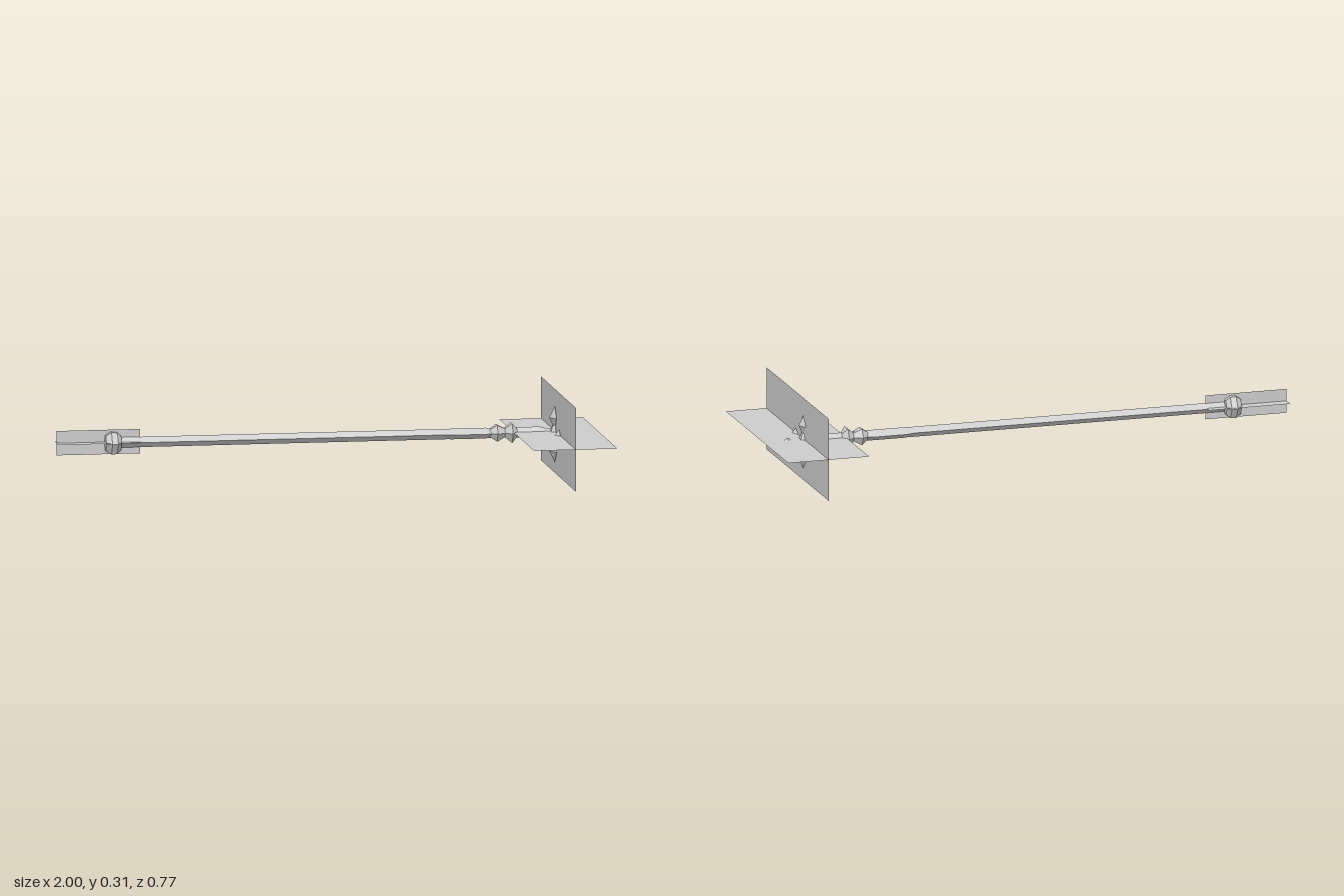
import * as THREE from 'three';

export function createModel() {
  const model = new THREE.Group();
  model.name = 'staff';
  const grey = new THREE.MeshStandardMaterial({ color: 0xcccccc, side: THREE.DoubleSide });
  grey.name = 'plain grey';

  const AXIS_Y = 0.152, AXIS_Z = -0.085;   // line of the shaft
  const HUB = [0.843, 0.144, -0.07];       // centre of the head ornament
  const UP = new THREE.Vector3(0, 1, 0);

  function add(name, geometry, x, y, z) {
    const mesh = new THREE.Mesh(geometry, grey);
    mesh.name = name;
    mesh.position.set(x, y, z);
    model.add(mesh);
    return mesh;
  }

  // Faceted solid along `dir`; profile rows are [distance along, radius]
  function faceted(name, profile, sides, dir, pos, scale = [1, 1, 1]) {
    const pts = profile.map(([along, r]) => new THREE.Vector2(r, along));
    let g = new THREE.LatheGeometry(pts, sides);
    g.applyQuaternion(new THREE.Quaternion().setFromUnitVectors(UP, new THREE.Vector3(...dir)));
    g.scale(...scale);
    g = g.toNonIndexed();
    g.computeVertexNormals();
    return add(name, g, ...pos);
  }

  const X = [1, 0, 0];
  const axis = [0, AXIS_Y, AXIS_Z];

  // Shaft with its tapered end
  faceted('shaft', [[-0.79, 0.019], [0.79, 0.019], [0.815, 0.012], [0.85, 0.009]], 4, X, axis);

  // Wider grip below the collars
  faceted('grip', [[0.42, 0.017], [0.46, 0.03], [0.59, 0.03], [0.62, 0.018]], 4, X, axis, [1, 0.66, 1]);

  // Two collar beads
  faceted('collarBead', [[0.605, 0.016], [0.63, 0.035], [0.66, 0.018]], 6, X, axis);
  faceted('collarBead', [[0.66, 0.018], [0.685, 0.042], [0.705, 0.017]], 6, X, axis);

  // Pommel at the far end
  faceted('pommel', [[-0.822, 0], [-0.82, 0.032], [-0.8, 0.047], [-0.778, 0.045], [-0.763, 0.03], [-0.76, 0]], 6, X, axis);

  // Head ornament: hub and four pointed gems
  faceted('hub', [[-0.034, 0.012], [0, 0.032], [0.034, 0.012]], 6, [0, 1, 0], HUB, [0.7, 1, 1]);
  const gem = [[0.02, 0.01], [0.033, 0.014], [0.062, 0.04], [0.103, 0]];
  faceted('upperGem', gem, 4, [0, 1, 0], HUB, [0.5, 1, 1]);
  faceted('lowerGem', gem, 4, [0, -1, 0], HUB, [0.5, 1, 1]);
  faceted('sideGem', [[0.02, 0.013], [0.06, 0.013], [0.095, 0.03], [0.143, 0]], 4, [0, 0, 1], HUB, [0.85, 1, 1]);
  faceted('endGem', [[0, 0.012], [0.035, 0.014], [0.062, 0.046], [0.097, 0]], 4, X, HUB, [1, 0.4, 1]);

  // Crossed cards around the head
  add('headCardFlat', new THREE.PlaneGeometry(0.31, 0.766).rotateX(-Math.PI / 2), 0.845, 0.155, 0);
  add('headCardUpright', new THREE.PlaneGeometry(0.766, 0.31).rotateY(Math.PI / 2), 0.845, 0.155, 0);

  // Crossed cards around the pommel
  add('pommelCardFlat', new THREE.PlaneGeometry(0.31, 0.09).rotateX(-Math.PI / 2), -0.845, 0.155, -0.086);
  add('pommelCardUpright', new THREE.PlaneGeometry(0.31, 0.09), -0.845, 0.155, -0.086);

  return model;
}
